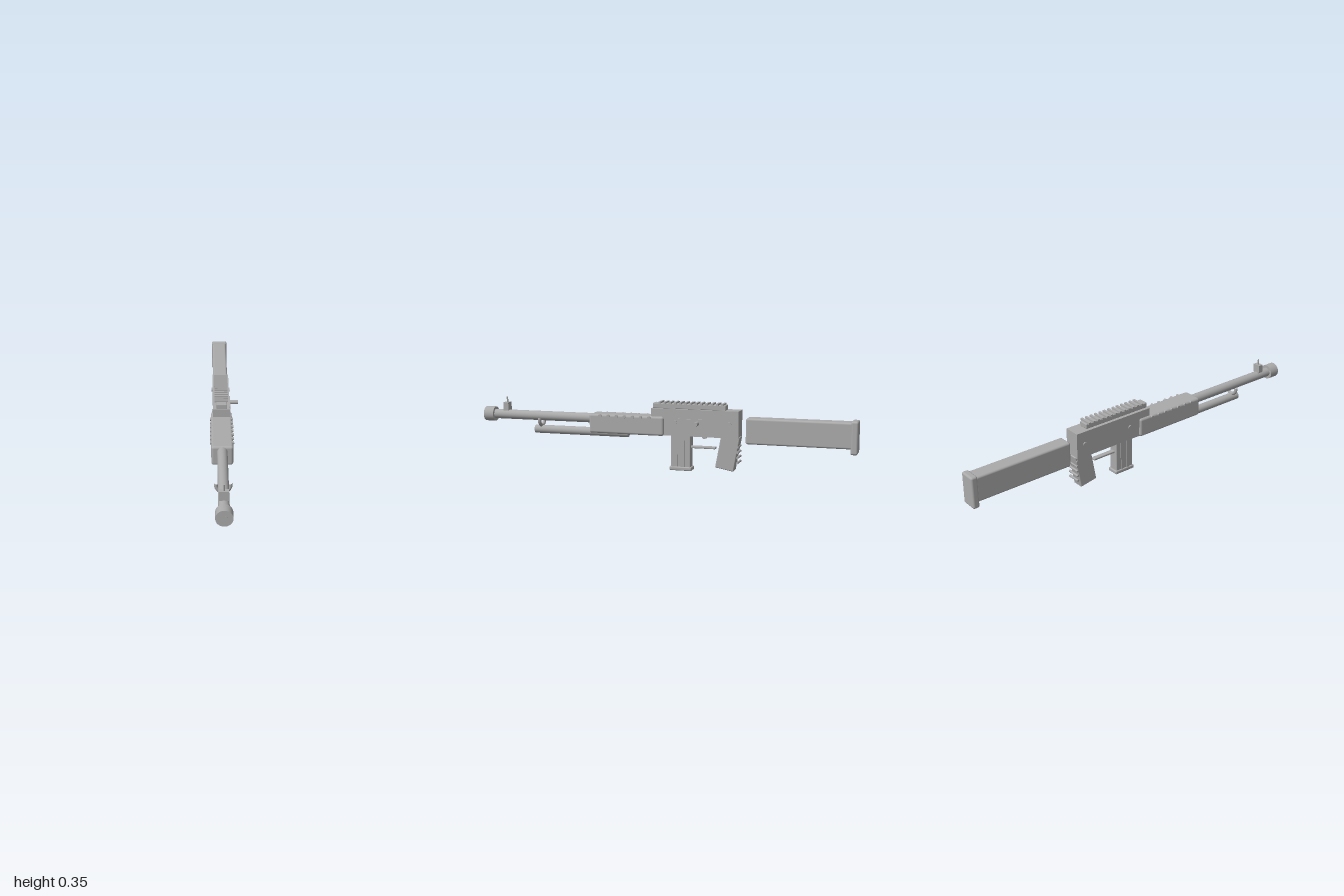
import * as THREE from 'three';
import { RoundedBoxGeometry } from 'three/addons/geometries/RoundedBoxGeometry.js';

export function createModel() {
  const model = new THREE.Group();
  model.name = 'rifle';
  const grey = new THREE.MeshStandardMaterial({ color: 0xaaaaaa });
  grey.name = 'plain grey';
  const X = -0.018; // centre line; the bolt handle sticks out on the left

  const add = (name, geo, x, y, z) => {
    const mesh = new THREE.Mesh(geo, grey);
    mesh.name = name;
    mesh.position.set(X + x, y, z);
    model.add(mesh);
    return mesh;
  };
  // box from y and z ranges, optionally with rounded edges
  const box = (name, w, y0, y1, z0, z1, r = 0, x = 0) => {
    const h = y1 - y0, d = z1 - z0;
    const geo = r ? new RoundedBoxGeometry(w, h, d, 3, r) : new THREE.BoxGeometry(w, h, d);
    return add(name, geo, x, (y0 + y1) / 2, (z0 + z1) / 2);
  };
  // cylinders lying along z or across x
  const tube = (name, r, y, z0, z1) =>
    add(name, new THREE.CylinderGeometry(r, r, z1 - z0, 32).rotateX(Math.PI / 2), 0, y, (z0 + z1) / 2);
  const pin = (name, r, len, y, z, x = 0) =>
    add(name, new THREE.CylinderGeometry(r, r, len, 16).rotateZ(Math.PI / 2), x, y, z);

  // barrel group
  tube('barrel', 0.025, 0.25, 0.3, 0.96);
  tube('muzzle', 0.039, 0.25, 0.945, 1);
  tube('bore', 0.013, 0.25, 0.96, 1.0005);
  tube('gasTube', 0.022, 0.178, 0.185, 0.71);
  const arc = Math.PI * 1.15;
  add('barrelClamp', new THREE.TorusGeometry(0.033, 0.009, 12, 28, arc)
    .rotateZ(Math.PI * 1.5 - arc / 2), 0, 0.232, 0.675);

  // front sight
  box('frontSightBase', 0.042, 0.272, 0.316, 0.862, 0.89);
  add('frontSightPost', new THREE.CylinderGeometry(0.004, 0.004, 0.04, 12), 0, 0.325, 0.876);

  // handguard with side studs
  box('handguard', 0.106, 0.178, 0.278, -0.02, 0.385, 0.012);
  for (let i = 0; i < 7; i++) pin('handguardStud', 0.008, 0.116, 0.27, 0.057 + i * 0.0445);

  // receiver, pins and bolt
  box('receiver', 0.085, 0.182, 0.319, -0.41, 0.048);
  for (const z of [-0.08, -0.362]) pin('receiverPin', 0.011, 0.096, 0.252, z);
  box('boltPlate', 0.008, 0.234, 0.271, -0.23, -0.095, 0, 0.0445);
  pin('boltHandle', 0.011, 0.06, 0.25, -0.198, 0.061);

  // top rail
  box('railBase', 0.052, 0.318, 0.345, -0.34, 0.045, 0.004);
  for (let i = 0; i < 13; i++) {
    const z = 0.006 - i * 0.0275;
    box('railSlat', 0.069, 0.343, 0.353, z - 0.006, z + 0.006);
  }

  // magazine
  box('magazine', 0.052, 0.01, 0.19, -0.156, -0.052, 0.004);
  box('magazineBase', 0.063, 0, 0.02, -0.163, -0.045, 0.006);
  for (const z of [-0.085, -0.122]) box('magazineRib', 0.06, 0.02, 0.182, z - 0.006, z + 0.006);

  // trigger and guard
  box('triggerGuard', 0.025, 0.117, 0.129, -0.285, -0.15, 0.004);
  pin('trigger', 0.013, 0.016, 0.18, -0.225);

  // raked grip with finger ridges on the back
  const grip = add('grip', new RoundedBoxGeometry(0.06, 0.18, 0.097, 3, 0.005), 0, 0.107, -0.351);
  grip.rotation.x = -0.18;
  for (let i = 0; i < 5; i++) pin('gripRidge', 0.006, 0.07, 0.057 + i * 0.0265, -0.404);

  // stock
  box('stock', 0.078, 0.155, 0.286, -0.975, -0.445, 0.01);
  box('buttPad', 0.087, 0.128, 0.293, -1, -0.965, 0.01);

  return model;
}
